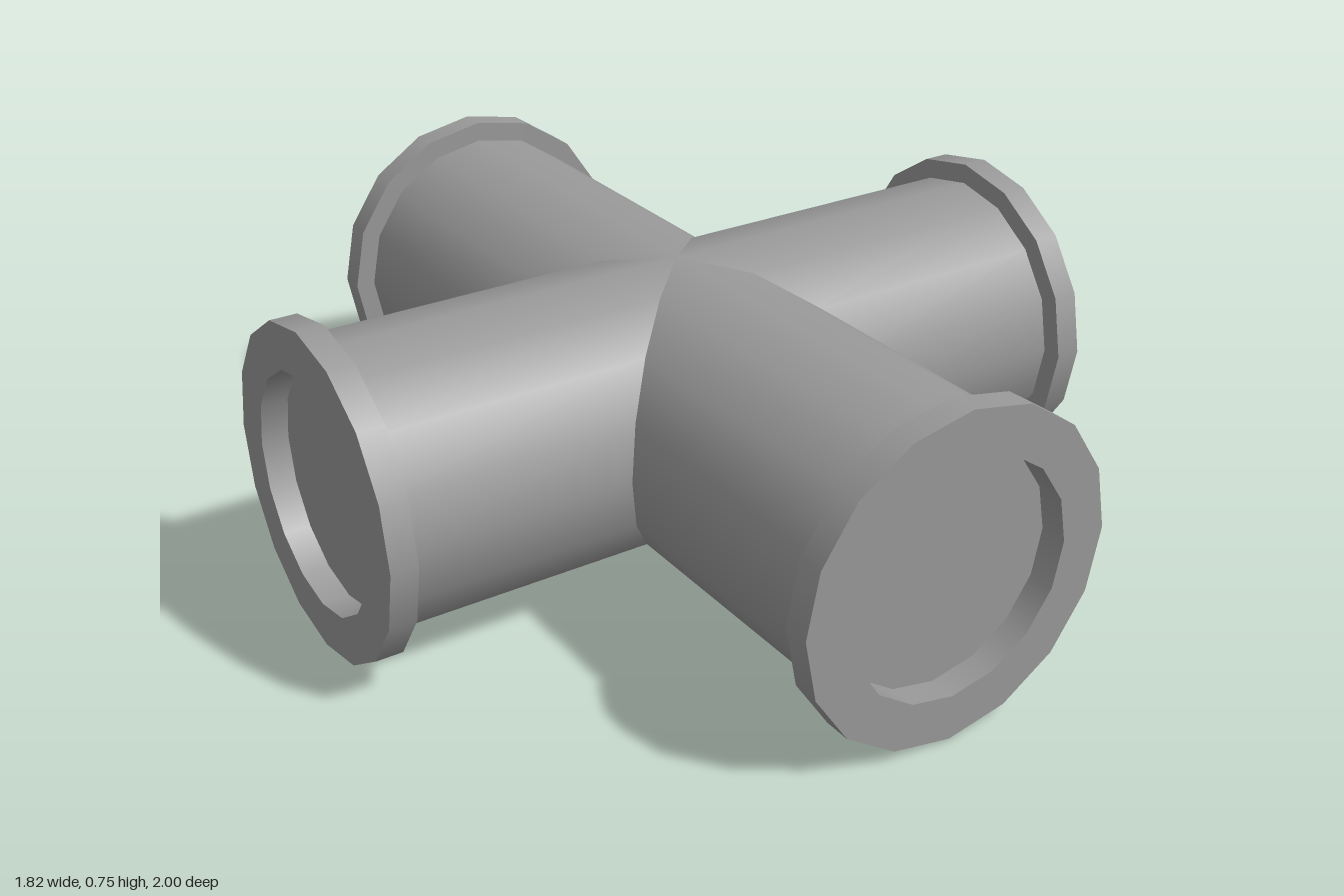
import * as THREE from 'three';
import { mergeGeometries } from 'three/addons/utils/BufferGeometryUtils.js';

const SIDES = 16;
const PIPE_R = 0.327, FLANGE_R = 0.375, HOLE_R = 0.27, FLANGE_T = 0.062;

// Revolve a profile of [radius, z] points about the z axis, sharp at each point
function revolve(profile) {
  const bands = [];
  for (let i = 0; i < profile.length - 1; i++) {
    const pair = [profile[i], profile[i + 1]].map(([r, z]) => new THREE.Vector2(r, z));
    bands.push(new THREE.LatheGeometry(pair, SIDES));
  }
  return mergeGeometries(bands).rotateX(Math.PI / 2);
}

// Pipe along +z whose inner end is mitred at 45 degrees to meet its neighbours
function pipeGeometry(length) {
  const geo = revolve([[PIPE_R, 0], [PIPE_R, length - FLANGE_T]]);
  const pos = geo.attributes.position;
  for (let i = 0; i < pos.count; i++) {
    if (pos.getZ(i) < 0.01) pos.setZ(i, Math.abs(pos.getX(i)));
  }
  return geo;
}

// Collar with a recessed, closed mouth
function flangeGeometry(length) {
  const back = length - FLANGE_T;
  return revolve([
    [PIPE_R, back], [FLANGE_R, back], [FLANGE_R, length],
    [HOLE_R, length], [HOLE_R, back], [0, back],
  ]);
}

export function createModel() {
  const metal = new THREE.MeshStandardMaterial({ color: 0x999999 });
  metal.name = 'grey metal';

  const model = new THREE.Group();
  model.name = 'crossPipe';

  // Four arms: long ones front and back, shorter ones left and right
  const arms = [['front', 1], ['left', 0.912], ['back', 1], ['right', 0.912]];
  arms.forEach(([side, length], i) => {
    const arm = new THREE.Group();
    arm.name = side + 'Arm';
    const pipe = new THREE.Mesh(pipeGeometry(length), metal);
    pipe.name = side + 'Pipe';
    const flange = new THREE.Mesh(flangeGeometry(length), metal);
    flange.name = side + 'Flange';
    arm.add(pipe, flange);
    arm.position.y = FLANGE_R;
    arm.rotation.y = i * Math.PI / 2;
    model.add(arm);
  });
  return model;
}
